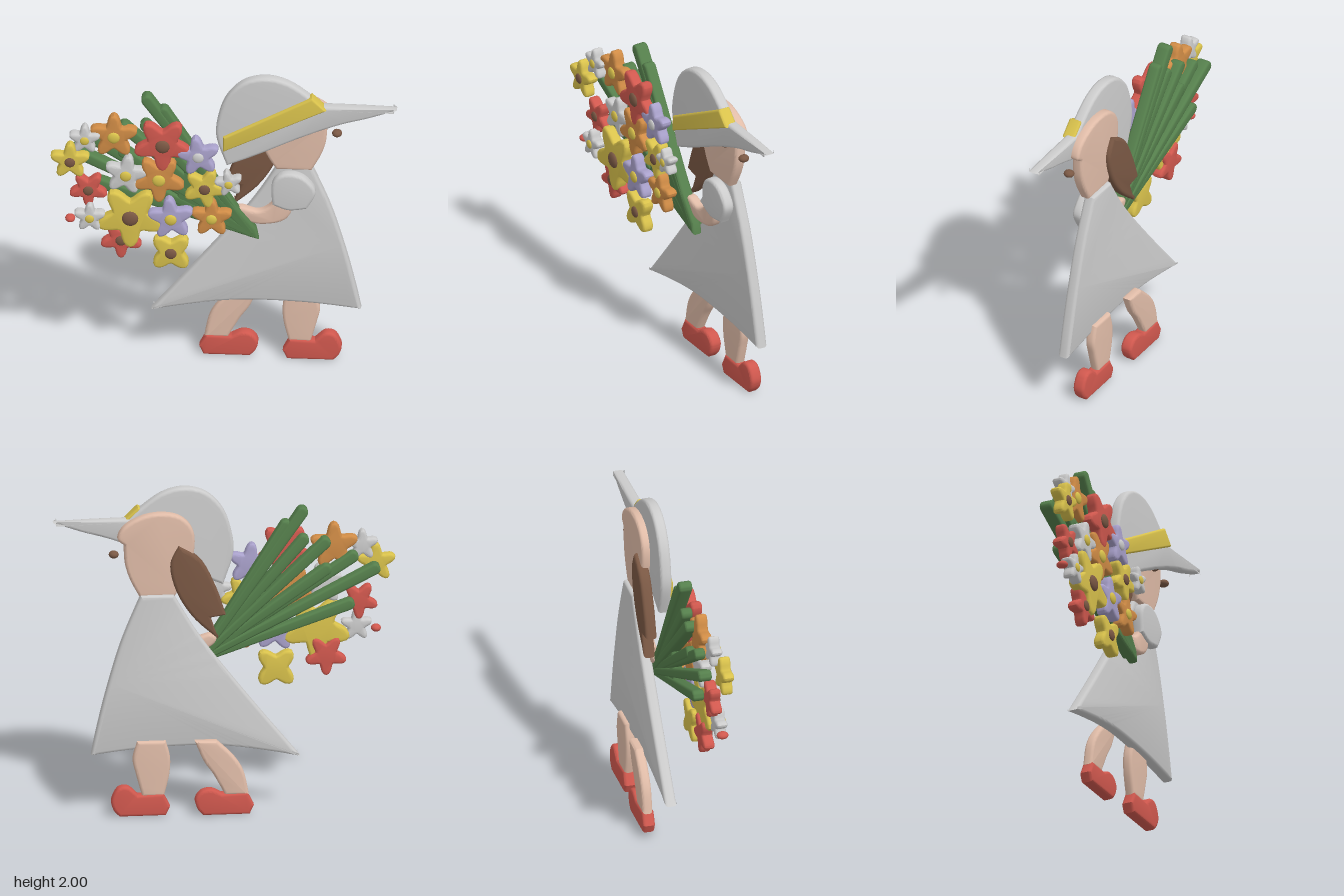
import * as THREE from 'three';
import { toCreasedNormals } from 'three/addons/utils/BufferGeometryUtils.js';

const mat = (color) => new THREE.MeshStandardMaterial({ color });
const GREY = mat(0xcccccc), SKIN = mat(0xe0bca8), RED = mat(0xd0584e), YELLOW = mat(0xd9c24c);
const ORANGE = mat(0xd08c46), PURPLE = mat(0xaaa2cc), GREEN = mat(0x557f4c), BROWN = mat(0x7a5844);

// Bevelled plate cut from a shape, between depths back and front
function plate(name, shape, back, front, material, bevel = 0.018) {
  const geo = new THREE.ExtrudeGeometry(shape, {
    depth: front - back - 2 * bevel, curveSegments: 6, bevelSegments: 3,
    bevelThickness: bevel, bevelSize: bevel, bevelOffset: -bevel,
  });
  geo.translate(0, 0, back + bevel);
  const mesh = new THREE.Mesh(toCreasedNormals(geo, 0.6), material);
  mesh.name = name;
  return mesh;
}

// Closed outline: each run is a smooth curve, with a corner between runs
function outline(start, ...runs) {
  const v = ([x, y]) => new THREE.Vector2(x, y);
  const shape = new THREE.Shape().moveTo(...start);
  for (const run of runs) {
    if (run.length === 1) shape.lineTo(...run[0]);
    else shape.splineThru(run.map(v));
  }
  return shape;
}

// Star with soft, blunt petals
function petals(r, n, turn) {
  const pts = [];
  for (let i = 0; i < n * 10; i++) {
    const a = (i / (n * 10)) * Math.PI * 2;
    const d = r * (0.77 + 0.23 * Math.cos(n * a));
    pts.push(new THREE.Vector2(d * Math.cos(a + turn), d * Math.sin(a + turn)));
  }
  return new THREE.Shape(pts);
}

function flower(u, y, front, r, petalMat, eyeMat, turn, n = 5) {
  const g = new THREE.Group();
  g.name = 'flower';
  g.add(plate('petals', petals(r, n, turn), -0.075, -0.006, petalMat, 0.016));
  const eye = new THREE.Mesh(new THREE.SphereGeometry(0.2 * r + 0.008, 14, 8), eyeMat);
  eye.name = 'flowerCentre';
  eye.scale.z = 0.4;
  eye.position.z = -0.006;
  g.add(eye);
  g.position.set(u, y, front);
  return g;
}

// Round-ended stem running from the gathered base to a tip
function stem(tip, back, front) {
  const [bx, by] = [0.17, 0.92];
  const a = Math.atan2(tip[1] - by, tip[0] - bx), w = 0.034;
  const len = Math.hypot(tip[0] - bx, tip[1] - by) - w;
  const shape = new THREE.Shape().moveTo(0, -w * 0.6).lineTo(len, -w);
  shape.absarc(len, 0, w, -Math.PI / 2, Math.PI / 2).lineTo(0, w * 0.6);
  const mesh = plate('stem', shape, back, front, GREEN, 0.014);
  mesh.position.set(bx, by, 0);
  mesh.rotation.z = a;
  return mesh;
}

export function createModel() {
  const model = new THREE.Group();
  model.name = 'girlWithBouquet';
  const body = new THREE.Group();
  body.name = 'figure';
  body.rotation.y = THREE.MathUtils.degToRad(42.8);
  model.add(body);

  // Dress
  body.add(plate('dress', outline([-0.43, 0.33],
    [[-0.26, 0.366], [-0.04, 0.403], [0.175, 0.419], [0.5, 0.41], [0.81, 0.377]],
    [[0.775, 0.546], [0.717, 0.785], [0.63, 1.077], [0.515, 1.358]],
    [[0.32, 1.358]],
    [[0.2, 1.15], [0.06, 0.95], [-0.18, 0.64], [-0.43, 0.33]]), -0.167, -0.097, GREY));

  // Sleeve and arm
  body.add(plate('sleeve', outline([0.29, 1.12],
    [[0.285, 1.25], [0.33, 1.32], [0.41, 1.335], [0.49, 1.3], [0.545, 1.21], [0.495, 1.1]],
    [[0.385, 1.085], [0.29, 1.12]]), -0.1, -0.03, GREY));
  body.add(plate('arm', outline([0.31, 1.17],
    [[0.4, 1.16]],
    [[0.4, 1.066], [0.345, 1.0], [0.215, 0.976], [0.1, 1.01], [0.06, 1.06], [0.1, 1.09],
      [0.2, 1.065], [0.27, 1.1], [0.31, 1.17]]), -0.11, -0.045, SKIN));

  // Head, eye and hair
  body.add(plate('head', outline([0.31, 1.345],
    [[0.52, 1.345]],
    [[0.575, 1.45], [0.605, 1.55], [0.612, 1.67]],
    [[0.65, 1.71], [0.61, 1.785], [0.5, 1.845], [0.38, 1.86], [0.27, 1.83], [0.2, 1.74],
      [0.2, 1.6], [0.25, 1.45], [0.31, 1.345]]), -0.14, -0.07, SKIN));
  const lash = (u, y, w) => {
    const m = new THREE.Mesh(new THREE.SphereGeometry(0.03, 14, 10), BROWN);
    m.name = 'eyelash';
    m.scale.set(1, 0.75, 1.1);
    m.position.set(u, y, w);
    body.add(m);
  };
  lash(0.67, 1.602, -0.088);
  lash(0.5, 1.63, -0.065);
  body.add(plate('hair', outline([0.29, 1.66],
    [[0.34, 1.54], [0.3, 1.37], [0.2, 1.21], [0.055, 1.075]],
    [[0.1, 1.21]],
    [[0.01, 1.225]],
    [[0.07, 1.4], [0.16, 1.57], [0.29, 1.66]]), -0.165, -0.095, BROWN));

  // Hat and band
  body.add(plate('hat', outline([0.02, 1.39],
    [[0.19, 1.464], [0.46, 1.597], [0.68, 1.69], [0.86, 1.745], [1.027, 1.805]],
    [[0.8, 1.812], [0.58, 1.815]],
    [[0.498, 1.89], [0.38, 1.97], [0.25, 2.0], [0.12, 1.965], [0.02, 1.86], [-0.03, 1.72],
      [-0.04, 1.58], [0.02, 1.39]]), -0.09, -0.02, GREY));
  body.add(plate('hatBand', outline([0, 1.497], [[0.61, 1.8]], [[0.525, 1.885]], [[0, 1.597]]),
    -0.08, 0, YELLOW, 0.014));

  // Legs and shoes
  body.add(plate('backLeg', outline([0.07, 0.46],
    [[-0.03, 0.36], [-0.09, 0.26], [-0.12, 0.12]], [[0.02, 0.12]],
    [[0.09, 0.25], [0.15, 0.34], [0.2, 0.46]]), -0.22, -0.158, SKIN));
  body.add(plate('frontLeg', outline([0.37, 0.46],
    [[0.345, 0.36], [0.35, 0.25], [0.38, 0.12]], [[0.51, 0.12]],
    [[0.545, 0.25], [0.565, 0.35], [0.54, 0.46]]), -0.195, -0.135, SKIN));
  const shoe = (u, back, h) => {
    const m = plate('shoe', outline([0.025, 0],
      [[0.3, 0]],
      [[0.335, 0.04], [0.347, 0.1], [0.31, h - 0.01], [0.25, h], [0.19, 0.13]],
      [[0.04, 0.135]],
      [[0, 0.055]]), back, back + 0.075, RED);
    m.position.x = u;
    body.add(m);
  };
  shoe(-0.15, -0.225, 0.158);
  shoe(0.345, -0.202, 0.182);

  // Bouquet: gathered base, fanned stems, flowers
  const bouquet = new THREE.Group();
  bouquet.name = 'bouquet';
  body.add(bouquet);
  bouquet.add(plate('stemBase', outline([0.21, 0.885],
    [[0.195, 0.96]], [[-0.05, 1.27]], [[-0.22, 1.38]], [[-0.3, 1.06]]), -0.082, -0.018, GREEN));
  [[-0.47, 1.85], [-0.37, 1.77], [-0.48, 1.67], [-0.61, 1.65], [-0.62, 1.48], [-0.78, 1.55],
    [-0.91, 1.47], [-0.76, 1.25]].forEach((tip, i) =>
    bouquet.add(stem(tip, -0.098 + 0.006 * (i % 3), -0.016 - 0.004 * (i % 2))));

  // Across, up, front depth, radius, petals, centre, turn, petal count
  const UP = Math.PI / 2, DOWN = -UP;
  [
    [-0.355, 1.554, 0.055, 0.175, RED, BROWN, DOWN],
    [-0.645, 1.59, 0.029, 0.145, ORANGE, YELLOW, UP],
    [-0.816, 1.58, 0.058, 0.095, GREY, YELLOW, UP],
    [-0.9, 1.454, 0.1, 0.12, YELLOW, BROWN, UP],
    [-0.144, 1.485, 0.058, 0.13, PURPLE, GREY, UP + 0.15],
    [-0.573, 1.34, 0.052, 0.13, GREY, YELLOW, UP - 0.15],
    [-0.377, 1.316, 0.052, 0.155, ORANGE, YELLOW, DOWN],
    [-0.106, 1.273, 0.07, 0.13, YELLOW, BROWN, DOWN + 0.2],
    [0.038, 1.326, 0.095, 0.085, GREY, YELLOW, UP + 0.2],
    [-0.794, 1.236, 0.057, 0.115, RED, BROWN, DOWN],
    [-0.545, 1.066, 0.08, 0.205, YELLOW, BROWN, DOWN],
    [-0.784, 1.066, 0.098, 0.095, GREY, YELLOW, UP],
    [-0.305, 1.066, 0.083, 0.14, PURPLE, YELLOW, UP + 0.1],
    [-0.065, 1.066, 0.066, 0.125, ORANGE, YELLOW, UP],
    [-0.6, 0.9, 0.062, 0.125, RED, BROWN, DOWN],
    [-0.305, 0.828, 0.076, 0.135, YELLOW, BROWN, Math.PI / 4, 4],
  ].forEach((f) => bouquet.add(flower(...f)));

  // Small bud at the edge
  const bud = new THREE.Mesh(new THREE.SphereGeometry(0.03, 14, 10), RED);
  bud.name = 'bud';
  bud.scale.set(1, 0.75, 1.2);
  bud.position.set(-0.9, 1.045, 0.05);
  bouquet.add(bud);

  return model;
}
